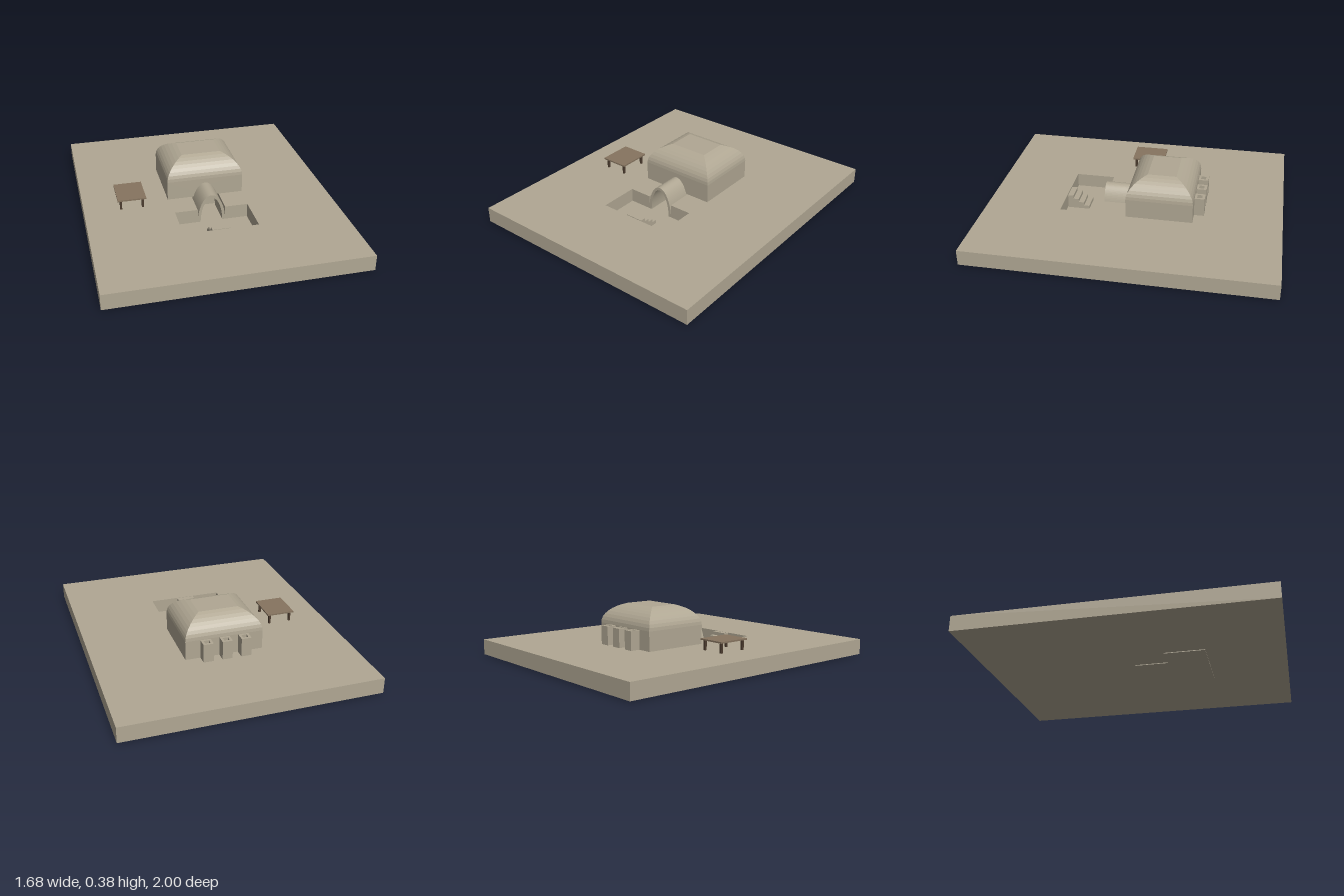
import * as THREE from 'three';

const earth = new THREE.MeshStandardMaterial({ color: 0xb0a793, side: THREE.DoubleSide });
earth.name = 'packed earth';
const wood = new THREE.MeshStandardMaterial({ color: 0x86745f });
wood.name = 'brown wood';
const darkWood = new THREE.MeshStandardMaterial({ color: 0x4b3b2e });
darkWood.name = 'dark wood';

const GROUND = 0.11, FLOOR = 0.015;

function add(parent, name, geometry, material = earth) {
  const mesh = new THREE.Mesh(geometry, material);
  mesh.name = name;
  parent.add(mesh);
  return mesh;
}

// Box given by its lower and upper limits on each axis
function box(parent, name, x0, x1, y0, y1, z0, z1, material = earth) {
  const mesh = add(parent, name, new THREE.BoxGeometry(x1 - x0, y1 - y0, z1 - z0), material);
  mesh.position.set((x0 + x1) / 2, (y0 + y1) / 2, (z0 + z1) / 2);
  return mesh;
}

function polygon(points, Type = THREE.Shape) {
  return new Type(points.map(([x, y]) => new THREE.Vector2(x, y)));
}

function extrude(shape, depth) {
  return new THREE.ExtrudeGeometry(shape, { depth, bevelEnabled: false, curveSegments: 24 });
}

// Ground slab with a T-shaped cutting for the entrance pit and passage
function buildGround(root) {
  const slab = polygon([[-0.84, -1], [0.84, -1], [0.84, 1], [-0.84, 1]]);
  slab.holes.push(polygon([[-0.095, 0], [-0.095, 0.22], [-0.25, 0.22], [-0.25, 0.49],
    [0.25, 0.49], [0.25, 0.22], [0.095, 0.22], [0.095, 0]], THREE.Path));
  const geometry = extrude(slab, GROUND - 0.005);
  geometry.rotateX(Math.PI / 2);
  geometry.translate(0, GROUND, 0);
  add(root, 'ground', geometry);

  box(root, 'pitFloor', -0.25, 0.25, 0, FLOOR, 0.22, 0.49);
  box(root, 'passageFloor', -0.095, 0.095, 0, FLOOR, 0, 0.22);

  const steps = new THREE.Group();
  steps.name = 'steps';
  for (let i = 0; i < 4; i++) {
    const z = 0.335 + i * 0.0375;
    box(steps, 'step', -0.06, 0.06, FLOOR, FLOOR + (GROUND - FLOOR) * (i + 1) / 4, z, z + 0.0375);
  }
  root.add(steps);
}

// Arched entrance tunnel, a half-elliptical shell
function buildTunnel(root) {
  const arch = new THREE.Shape();
  arch.absellipse(0, 0.01, 0.095, 0.2, 0, Math.PI, false);
  arch.lineTo(-0.075, 0.01);
  arch.absellipse(0, 0.01, 0.075, 0.18, Math.PI, 0, true);
  arch.closePath();
  add(root, 'entranceTunnel', extrude(arch, 0.2)).position.z = 0.02;
}

// House: four thin walls below a rounded, hipped roof with a flat top
function buildHouse(root) {
  const house = new THREE.Group();
  house.name = 'house';
  const W = 0.263, Z0 = -0.411, Z1 = 0.037, EAVE = 0.24, TOP = 0.375, T = 0.015;

  // Front wall with an arched opening
  const outline = [[W, GROUND], [W, EAVE], [-W, EAVE], [-W, GROUND]];
  for (let i = 0; i <= 16; i++) {
    const a = Math.PI - 0.58 - (Math.PI - 1.16) * i / 16;
    outline.push([0.075 * Math.cos(a), Math.max(GROUND, 0.01 + 0.18 * Math.sin(a))]);
  }
  add(house, 'frontWall', extrude(polygon(outline), T)).position.z = Z1 - T;

  // Back wall with three hearth openings
  const back = [[W, GROUND], [W, EAVE], [-W, EAVE], [-W, GROUND]];
  for (const x of [-0.13, 0, 0.13]) {
    back.push([x - 0.018, GROUND], [x - 0.018, 0.16], [x + 0.018, 0.16], [x + 0.018, GROUND]);
  }
  add(house, 'backWall', extrude(polygon(back), T)).position.z = Z0;

  for (const s of [-1, 1]) {
    box(house, 'sideWall', Math.min(s * W, s * (W - T)), Math.max(s * W, s * (W - T)),
      GROUND, EAVE, Z0 + T, Z1 - T);
  }

  // Roof: rectangular rings drawn in along an arc
  const N = 8, MAX = THREE.MathUtils.degToRad(66), INSET = 0.128;
  const ring = (i) => {
    const a = MAX * i / N;
    const d = INSET * (1 - Math.cos(a)) / (1 - Math.cos(MAX));
    const y = EAVE + (TOP - EAVE) * Math.sin(a) / Math.sin(MAX);
    return [[-W + d, y, Z1 - d], [W - d, y, Z1 - d], [W - d, y, Z0 + d], [-W + d, y, Z0 + d]];
  };
  const positions = [];
  const quad = (a, b, c, d) => positions.push(...a, ...b, ...c, ...a, ...c, ...d);
  for (let i = 0; i < N; i++) {
    const lower = ring(i), upper = ring(i + 1);
    for (let k = 0; k < 4; k++) {
      const n = (k + 1) % 4;
      quad(lower[k], lower[n], upper[n], upper[k]);
    }
  }
  quad(...ring(N));
  const roof = new THREE.BufferGeometry();
  roof.setAttribute('position', new THREE.Float32BufferAttribute(positions, 3));
  roof.computeVertexNormals();
  add(house, 'roof', roof);
  root.add(house);
}

// Hollow chimney, open at the top and towards its hearth
function buildChimney(root, x) {
  const chimney = new THREE.Group();
  chimney.name = 'chimney';
  const h = 0.034, f = 0.018, top = 0.237, z0 = -0.478, z1 = -0.411;
  box(chimney, 'chimneySide', -h, -f, GROUND, top, z0, z1);
  box(chimney, 'chimneySide', f, h, GROUND, top, z0, z1);
  box(chimney, 'chimneyBack', -f, f, GROUND, top, z0, -0.46);
  box(chimney, 'chimneyFront', -f, f, 0.16, top, -0.426, z1);
  chimney.position.x = x;
  root.add(chimney);
}

function buildTable(root) {
  const table = new THREE.Group();
  table.name = 'table';
  box(table, 'tableTop', -0.096, 0.096, 0.177, 0.187, -0.115, 0.115, wood);
  for (const sx of [-1, 1]) for (const sz of [-1, 1]) {
    const x = sx * 0.074, z = sz * 0.093;
    box(table, 'tableLeg', x - 0.007, x + 0.007, GROUND, 0.177, z - 0.007, z + 0.007, darkWood);
  }
  table.position.set(-0.518, 0, -0.005);
  root.add(table);
}

export function createModel() {
  const root = new THREE.Group();
  root.name = 'earthHouse';
  buildGround(root);
  buildTunnel(root);
  buildHouse(root);
  for (const x of [-0.128, 0, 0.128]) buildChimney(root, x);
  buildTable(root);
  return root;
}
